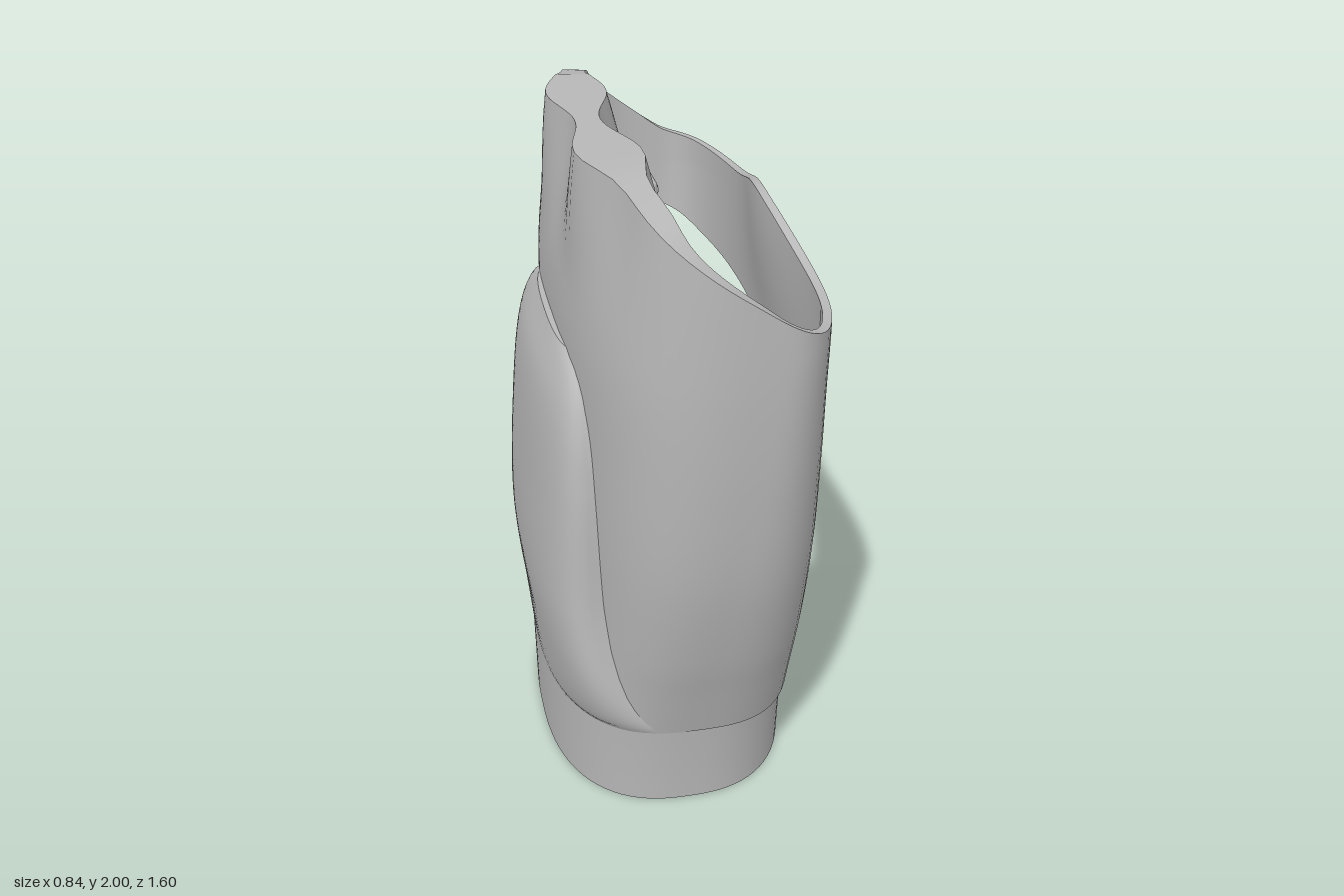
import * as THREE from 'three';
import { toCreasedNormals } from 'three/addons/utils/BufferGeometryUtils.js';
import { RoundedBoxGeometry } from 'three/addons/geometries/RoundedBoxGeometry.js';

const grey = new THREE.MeshStandardMaterial({ color: 0xb8b8b8, side: THREE.DoubleSide });
grey.name = 'grey';
const step = THREE.MathUtils.smoothstep;

// piecewise linear lookup in [[x, y], ...]
function table(rows, x) {
  if (x <= rows[0][0]) return rows[0][1];
  for (let i = 1; i < rows.length; i++) {
    const [x0, y0] = rows[i - 1], [x1, y1] = rows[i];
    if (x <= x1) return y0 + (y1 - y0) * (x - x0) / (x1 - x0);
  }
  return rows[rows.length - 1][1];
}

// smooth curve through a small table, returned as a lookup
function smoothTable(rows) {
  const pts = new THREE.CatmullRomCurve3(rows.map(([x, y]) => new THREE.Vector3(x, y, 0))).getPoints(80);
  const dense = pts.map(p => [p.x, p.y]);
  return x => table(dense, x);
}

// unit superellipse point at an angle
function oval(a, n) {
  const c = Math.cos(a), s = Math.sin(a);
  const r = Math.pow(Math.abs(c) ** n + Math.abs(s) ** n, -1 / n);
  return [c * r, s * r];
}

// surface from a grid of points, columns i and rows j
function gridSurface(cols, rows, point, crease = 0.6) {
  const pos = [], index = [];
  for (let i = 0; i <= cols; i++) for (let j = 0; j < rows; j++) pos.push(...point(i, j));
  for (let i = 0; i < cols; i++) for (let j = 0; j < rows - 1; j++) {
    const a = i * rows + j, b = a + rows;
    index.push(a, b, a + 1, b, b + 1, a + 1);
  }
  const g = new THREE.BufferGeometry();
  g.setAttribute('position', new THREE.Float32BufferAttribute(pos, 3));
  g.setIndex(index);
  return toCreasedNormals(g, crease);
}

function add(parent, name, geometry, x = 0, y = 0, z = 0) {
  const m = new THREE.Mesh(geometry, grey);
  m.name = name;
  m.position.set(x, y, z);
  parent.add(m);
  return m;
}

// shell outline dimensions by height
const halfZ = smoothTable([[0.28, 0.572], [0.45, 0.622], [0.6, 0.668], [0.9, 0.738], [1.2, 0.775], [1.5, 0.795], [1.75, 0.8], [2, 0.8]]);
const plusX = smoothTable([[0.28, 0.403], [0.6, 0.418], [0.9, 0.42], [1.2, 0.412], [1.5, 0.4], [2, 0.395]]);
const minusX = smoothTable([[0.28, -0.31], [0.6, -0.295], [1.2, -0.295], [1.52, -0.295], [1.75, -0.27], [2, -0.235]]);
const centreX = y => table([[0.28, 0.04], [1.6, 0.17], [2, 0.17]], y);
const ledge = [[1.64, 0], [1.71, 0.17], [1.76, 0.17], [2, 0.07]];

function shellPoint(a, y, inner) {
  const back = Math.cos(a) < 0;
  const [c, s] = oval(a, back ? 3 : 2.8), cx = centreX(y), th = inner ? 0.025 : 0;
  const z = (halfZ(y) - th) * s;
  if (!back) {
    const dent = 0.06 * c * Math.exp(-((z / 0.28) ** 2)) * step(y, 1.15, 1.75);
    return [cx + c * (plusX(y) - cx - th) - dent, y, z];
  }
  // the back wall is wavy at the top and has a ledge inside
  const fade = 1 - step(Math.abs(z), 0.52, 0.76);
  const wave = Math.cos(z * 11.4) * fade;
  const shift = inner ? 0.055 + table(ledge, y) * fade - 0.03 * wave * step(y, 1.64, 1.71) : 0.024 * wave * step(y, 1.6, 2);
  return [cx + c * (cx - minusX(y) - shift), y, z];
}

const rimSlope = smoothTable([[-0.3, 2], [-0.25, 2], [-0.19, 1.975], [-0.1, 1.905], [0, 1.835], [0.1, 1.77], [0.2, 1.705], [0.3, 1.66], [0.4, 1.64]]);
function rimHeight(a) {
  const [x, , z] = shellPoint(a, 1.8, false);
  const front = step(x, 0.18, 0.32);
  const middle = x < 0 ? 0.025 * (1 - step(Math.abs(z), 0.1, 0.6)) : 0;
  return Math.min(2, rimSlope(x) + middle + front * (0.11 * Math.exp(-((z / 0.27) ** 2)) + 0.025 * step(-z, -0.1, 0.3)));
}

// lower edge of the shell: angle, height, matching angle on the top rim
const shellEdge = new THREE.CatmullRomCurve3([
  [0, 0.285, 0.6], [0.07, 0.5, 0.52], [0.14, 0.8, 0.42], [0.1, 1, 0.25], [0, 1.13, 0.1], [-0.13, 1.22, -0.06],
  [-0.32, 1.29, -0.3], [-0.57, 1.33, -0.57], [-0.85, 1.37, -0.85], [-1.2, 1.43, -1.2], [-1.6, 1.46, -1.55],
  [-1.88, 1.42, -1.85], [-2.01, 1.3, -2.02], [-2.05, 1.1, -2.22], [-2.01, 0.8, -2.4], [-1.94, 0.5, -2.52],
  [-1.9, 0.285, -2.62], [-2.4, 0.285, -2.86], [-2.8, 0.285, -3.07], [-3.3, 0.285, -3.4], [-4, 0.285, -4.05],
  [-4.6, 0.285, -4.6], [-5.2, 0.285, -5], [-5.8, 0.285, -5.4], [-2 * Math.PI, 0.285, 0.6 - 2 * Math.PI],
].map(p => new THREE.Vector3(...p)));

function buildShell() {
  const cols = 192, rows = 50, total = rows * 2 + 1;
  return gridSurface(cols, total, (i, j) => {
    const e = shellEdge.getPoint(i / cols);
    const inner = j >= rows && j < total - 1;
    const k = j === total - 1 ? 0 : inner ? rows * 2 - 1 - j : j;
    const t = k / (rows - 1), a = e.x + (e.z - e.x) * t;
    return shellPoint(a, e.y + (rimHeight(e.z) - e.y) * t, inner);
  });
}

// base cup: centre, bottom edge, rim, recess, floor
function buildBase() {
  const rings = [[0, 0, 0], [0.385, 0.545, 0], [0.387, 0.552, 0.12], [0.39, 0.57, 0.285],
    [0.34, 0.525, 0.285], [0.34, 0.525, 0.2], [0, 0, 0.2]];
  return gridSurface(96, rings.length, (i, j) => {
    const [c, s] = oval(-i / 96 * 2 * Math.PI, 2.5), [rx, rz, y] = rings[j];
    return [0.012 + rx * c, y, rz * s];
  });
}

// padded panel rising from the base on the -x side, its rim returning to the shell
function buildPanel() {
  const edgeX = smoothTable([[0.28, 0.01], [0.32, -0.09], [0.4, -0.18], [0.5, -0.235], [0.65, -0.268], [0.8, -0.275], [1.46, -0.27]]);
  const faceX = smoothTable([[0.28, -0.378], [0.45, -0.395], [0.7, -0.42], [1, -0.408], [1.33, -0.368], [1.45, -0.315]]);
  const halfW = smoothTable([[0.28, 0.57], [0.45, 0.548], [0.7, 0.515], [1.1, 0.495], [1.28, 0.465], [1.38, 0.42], [1.43, 0.36], [1.45, 0.29]]);
  const rows = 48, cols = 58;
  return gridSurface(cols, rows, (i, j) => {
    const returning = i === 0 || i === cols;
    const k = THREE.MathUtils.clamp(i - 1, 0, cols - 2);
    const [c, s] = oval(-Math.PI / 2 - k / (cols - 2) * Math.PI, 2.45);
    const last = j === rows - 1, y = last ? 1.452 : 0.285 + 1.165 * j / (rows - 2);
    const e = edgeX(y), f = last ? e + 0.04 : faceX(y);
    const inward = returning ? 0.13 * step(y, 0.3, 0.55) : 0;
    return [e + (e - f) * c + inward, y, halfW(y) * s * (1 - inward * 0.2)];
  });
}

// flat inner wall with a diagonal lower corner, leaning back towards the top
function buildInnerWall() {
  const outline = [[0.4, 0.2], [-0.25, 0.2], [-0.25, 0.5], [-0.58, 1.1], [-0.6, 1.7], [0.6, 1.7], [0.6, 0.95], [0.5, 0.5]];
  const g = new THREE.ExtrudeGeometry(new THREE.Shape(outline.map(([z, y]) => new THREE.Vector2(-z, y))),
    { depth: 0.03, bevelEnabled: false });
  const lean = new THREE.Matrix4().makeShear(0, 0, -0.05, 0, 0, 0);
  lean.elements[4] = -0.05;
  lean.elements[1] = 0;
  return g.rotateY(Math.PI / 2).applyMatrix4(lean).translate(-0.05, 0, 0);
}

// bracket block with one hex bolt and two screws
function addBracket(group, z, y, width, height, depth, screwY) {
  add(group, 'bracketBlock', new RoundedBoxGeometry(depth, height, width, 2, 0.015), 0.01 - depth / 2, y, z);
  const bolt = (r, len, sides, by, bz) =>
    add(group, 'bolt', new THREE.CylinderGeometry(r, r, len, sides).rotateZ(Math.PI / 2), 0.01 + len / 2, by, bz);
  bolt(0.025, 0.025, 6, y - screwY * 0.5, z);
  for (const k of [-1, 1]) bolt(0.012, 0.012, 12, y + screwY, z + k * 0.03);
}

// wedge-shaped foot
function footGeometry() {
  const s = new THREE.Shape([[-0.1, 0.035], [0.03, 0.035], [0.03, 0.015], [0.01, -0.035], [-0.1, -0.035]]
    .map(p => new THREE.Vector2(...p)));
  return new THREE.ExtrudeGeometry(s, { depth: 0.11, bevelEnabled: false }).translate(0, 0, -0.055);
}

export function createModel() {
  const model = new THREE.Group();
  model.name = 'wrapAroundHolder';
  add(model, 'outerShell', buildShell());
  add(model, 'baseCup', buildBase());
  add(model, 'sidePanel', buildPanel());
  add(model, 'innerWall', buildInnerWall());

  // three hanging posts with a bracket on top and a foot below
  for (const [z, top, depth] of [[0.5, 1.72, 0.08], [-0.035, 1.83, 0.1], [-0.57, 1.76, 0.08]]) {
    const post = new THREE.Group();
    post.name = 'post';
    addBracket(post, z, top - 0.1, 0.2, 0.2, depth, 0.055);
    add(post, 'postRod', new THREE.CylinderGeometry(0.062, 0.062, top - 1.31, 28), -0.05, (top + 1.11) / 2, z - 0.035);
    add(post, 'postFoot', footGeometry(), -0.01, 1.175, z + 0.025);
    model.add(post);
  }

  // low bracket near the base
  const low = new THREE.Group();
  low.name = 'lowBracket';
  addBracket(low, -0.05, 0.54, 0.13, 0.2, 0.1, -0.06);
  add(low, 'lowFoot', footGeometry(), -0.01, 0.41, -0.075).scale.z = 1.4;
  model.add(low);
  return model;
}
